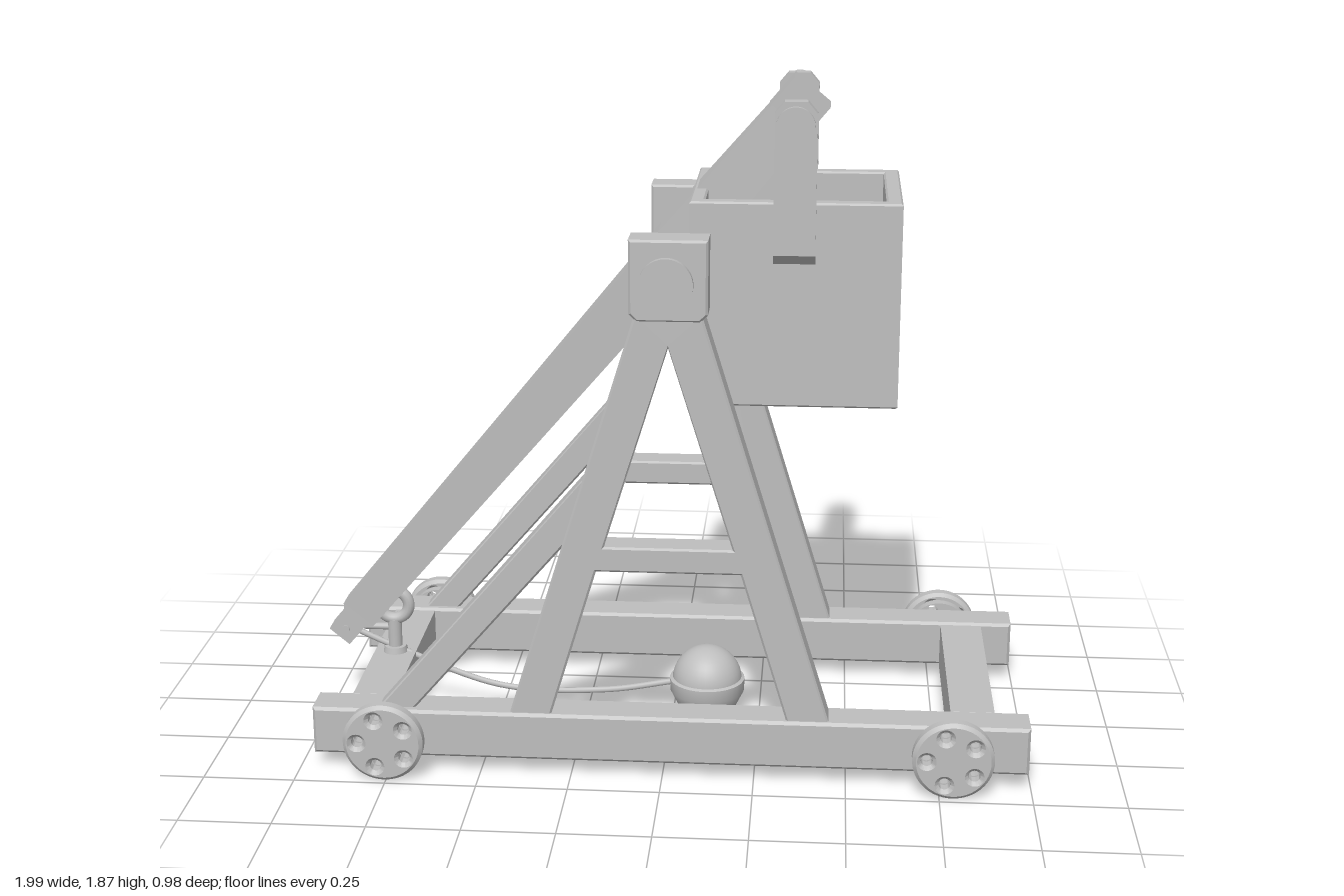
import * as THREE from 'three';
import { toCreasedNormals } from 'three/addons/utils/BufferGeometryUtils.js';

const grey = new THREE.MeshStandardMaterial({ color: 0xbebebe });
grey.name = 'plain grey';

export function createModel() {
  const model = new THREE.Group();
  model.name = 'trebuchet';

  const add = (name, geometry, parent = model) => {
    const mesh = new THREE.Mesh(geometry, grey);
    mesh.name = name;
    parent.add(mesh);
    return mesh;
  };
  const vec = (pts) => pts.map(([x, y]) => new THREE.Vector2(x, y));
  // Extruded outline between two z values, with slightly bevelled edges
  const slab = (shape, z0, z1, bevel = 0.006) => {
    const g = new THREE.ExtrudeGeometry(shape, {
      depth: z1 - z0 - 2 * bevel, bevelEnabled: bevel > 0, bevelThickness: bevel, bevelSize: bevel,
      bevelOffset: -bevel, bevelSegments: 1, curveSegments: 32,
    });
    return g.translate(0, 0, z0 + bevel);
  };
  const poly = (pts) => new THREE.Shape(vec(pts));
  const rect = (x0, y0, x1, y1) => poly([[x0, y0], [x1, y0], [x1, y1], [x0, y1]]);
  const turned = (pts) => toCreasedNormals(new THREE.LatheGeometry(vec(pts), 32), 0.5);
  // Rod along z with a flared cap on both ends
  const flaredRod = (r, zNeck, zRim, zEnd, rNeck, rRim) => {
    const half = [[r, zNeck], [rNeck, zNeck], [rRim, zRim], [rRim, zEnd], [0, zEnd]];
    const pts = [...half.map(([a, z]) => [a, -z]).reverse(), ...half];
    return turned(pts).rotateX(Math.PI / 2);
  };
  // Disc with five holes
  const holedDisc = (r) => {
    const s = new THREE.Shape().absarc(0, 0, r, 0, Math.PI * 2);
    for (let i = 0; i < 5; i++) {
      const a = Math.PI + i * Math.PI * 0.4;
      s.holes.push(new THREE.Path().absarc(0.071 * Math.cos(a), 0.071 * Math.sin(a), 0.016, 0, Math.PI * 2, true));
    }
    return s;
  };

  // Side assemblies: rail, A-frame, cap block, brace and wheels
  const frame = poly([[-0.42, 0.17], [-0.07, 1.31], [0.104, 1.31], [0.455, 0.17], [0.34, 0.17],
    [0.21, 0.6], [-0.176, 0.6], [-0.306, 0.17]]);
  frame.holes.push(new THREE.Path(vec([[0.188, 0.67], [0.017, 1.22], [-0.154, 0.67]])));
  const block = poly([[-0.085, 1.505], [-0.085, 1.31], [-0.065, 1.29], [0.1, 1.29], [0.12, 1.31], [0.12, 1.505]]);
  const brace = poly([[-0.79, 0.17], [-0.69, 0.17], [-0.225, 0.71], [-0.2, 0.865]]);
  const sides = {
    baseRail: slab(rect(-0.96, 0.05, 0.993, 0.185), 0.31, 0.42, 0.008),
    sideFrame: slab(frame, 0.321, 0.409),
    axleBlock: slab(block, 0.315, 0.413),
    diagonalBrace: slab(brace, 0.332, 0.396),
  };
  const hanger = slab(poly([[0.28, 1.41], [0.39, 1.41], [0.39, 1.81], [0.365, 1.84], [0.305, 1.84], [0.28, 1.81]]),
    0.243, 0.281, 0);
  // Slanted foot on the outer face of the hanger
  const hp = hanger.attributes.position;
  for (let i = 0; i < hp.count; i++) if (hp.getY(i) < 1.42 && hp.getZ(i) > 0.26) hp.setY(i, 1.44);
  hanger.computeVertexNormals();
  sides.hanger = hanger;

  const disc = toCreasedNormals(slab(holedDisc(0.11), 0.442, 0.488, 0.01), 0.5);
  const hub = toCreasedNormals(slab(holedDisc(0.09), 0.415, 0.445, 0), 0.5);
  for (const left of [true, false]) {
    const side = new THREE.Group();
    side.name = left ? 'frontSide' : 'backSide';
    for (const [name, g] of Object.entries(sides)) {
      const zMid = (g.computeBoundingBox(), g.boundingBox.min.z + g.boundingBox.max.z);
      if (left) add(name, g, side);
      else if (name === 'hanger') add(name, g, side).scale.z = -1;
      else add(name, g, side).position.z = -zMid;
    }
    for (const x of [-0.755, 0.785]) {
      const wheel = new THREE.Group();
      wheel.name = 'wheel';
      wheel.position.set(x, 0.115, 0);
      if (!left) wheel.scale.z = -1;
      add('wheelDisc', disc, wheel);
      add('wheelHub', hub, wheel);
      side.add(wheel);
    }
    model.add(side);
  }

  // Cross beams
  for (const x of [-0.87, 0.783]) add('crossBeam', slab(rect(x, 0.05, x + 0.12, 0.18), -0.312, 0.312));

  // Axles
  add('mainAxle', flaredRod(0.026, 0.435, 0.475, 0.492, 0.035, 0.07)).position.set(0.017, 1.405, 0);
  add('counterweightAxle', flaredRod(0.02, 0.285, 0.322, 0.337, 0.026, 0.05)).position.set(0.335, 1.785, 0);

  // Throwing arm: lofted rectangular sections (distance along arm, half depth, half width)
  const arm = new THREE.Group();
  arm.name = 'throwingArm';
  arm.position.set(0.017, 1.405, 0);
  arm.rotation.z = THREE.MathUtils.degToRad(50);
  const sections = [[-1.53, 0.037, 0.035], [-1.46, 0.037, 0.035], [-1.44, 0.054, 0.035],
    [0, 0.07, 0.07], [0.46, 0.06, 0.058]];
  const pos = [];
  const idx = [];
  sections.forEach(([s, h, w], k) => {
    pos.push(s, -h, -w, s, -h, w, s, h, w, s, h, -w);
    if (k) for (let i = 0; i < 4; i++) {
      const a = (k - 1) * 4 + i, b = (k - 1) * 4 + (i + 1) % 4;
      idx.push(a, a + 4, b, b, a + 4, b + 4);
    }
  });
  const e = pos.length / 3 - 4;
  idx.push(0, 1, 2, 0, 2, 3, e, e + 2, e + 1, e, e + 3, e + 2);
  let beam = new THREE.BufferGeometry();
  beam.setAttribute('position', new THREE.Float32BufferAttribute(pos, 3));
  beam.setIndex(idx);
  beam = beam.toNonIndexed();
  beam.computeVertexNormals();
  add('armBeam', beam, arm);
  add('armHead', new THREE.BoxGeometry(0.107, 0.124, 0.114).translate(0.502, 0, 0), arm);
  add('tipPin', new THREE.CylinderGeometry(0.012, 0.012, 0.078, 16).rotateX(Math.PI / 2).translate(-1.5, 0, 0), arm);
  model.add(arm);

  // Open counterweight box with its filling
  const wall = rect(0.06, -0.243, 0.615, 0.243);
  wall.holes.push(new THREE.Path(vec([[0.1, -0.2], [0.1, 0.2], [0.572, 0.2], [0.572, -0.2]])));
  add('counterweightBox', slab(wall, 1.02, 1.572, 0.005).rotateX(-Math.PI / 2));
  add('boxFilling', new THREE.BoxGeometry(0.49, 0.43, 0.42).translate(0.337, 1.237, 0));
  add('fillingKnob', new THREE.CylinderGeometry(0.05, 0.055, 0.04, 32).translate(0.337, 1.465, 0));

  // Ball resting in its pouch
  add('ball', new THREE.SphereGeometry(0.1, 32, 20).translate(0.1, 0.12, 0));
  add('pouch', turned([[0, 0.008], [0.04, 0.008], [0.085, 0.045], [0.107, 0.09], [0.108, 0.125], [0.098, 0.13]]))
    .position.x = 0.1;

  // Sling rope from pouch to arm tip
  const path = new THREE.CatmullRomCurve3([[0.01, 0.11], [-0.2, 0.075], [-0.5, 0.08], [-0.78, 0.18], [-0.95, 0.255]]
    .map(([x, y]) => new THREE.Vector3(x, y, 0)));
  add('slingRope', new THREE.TubeGeometry(path, 40, 0.009, 8));

  // Trigger: post, eye ring and pin
  add('triggerBase', new THREE.CylinderGeometry(0.032, 0.036, 0.02, 24).translate(-0.81, 0.188, 0));
  add('triggerPost', new THREE.CylinderGeometry(0.02, 0.02, 0.1, 16).translate(-0.81, 0.23, 0));
  add('triggerRing', new THREE.TorusGeometry(0.043, 0.017, 12, 32).translate(-0.81, 0.324, 0));
  add('triggerPin', new THREE.CylinderGeometry(0.01, 0.01, 0.09, 12).rotateZ(Math.PI / 2).translate(-0.855, 0.255, 0));

  return model;
}
